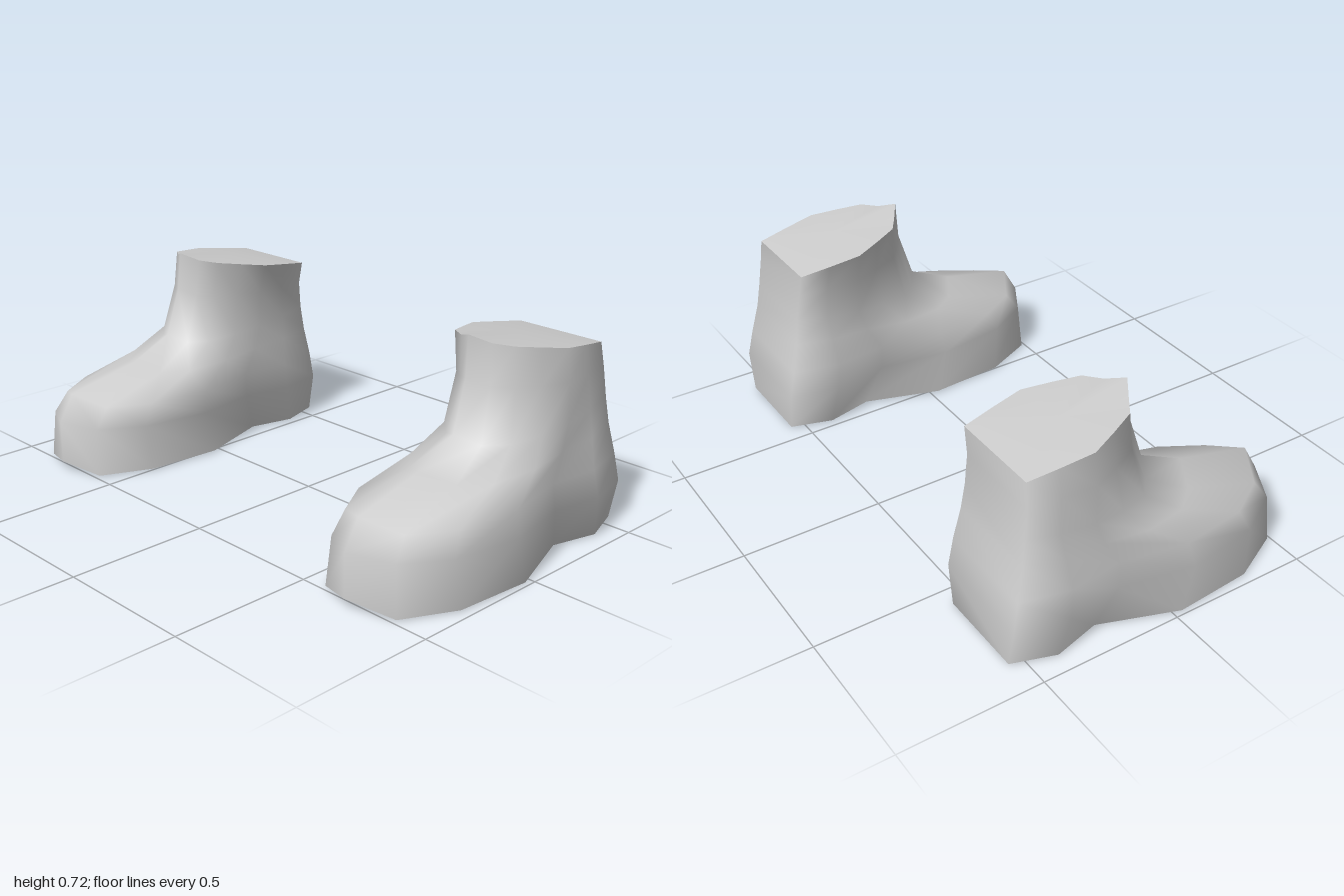
import * as THREE from 'three';

// Half outline from toe tip round to the heel corner: [sole side, sole length, collar side, collar length]
const OUTLINE = [
  [0, 1, 0, 1], [0.56, 0.945, 0.32, 0.915], [0.89, 0.78, 0.63, 0.83], [0.97, 0.53, 0.82, 0.65],
  [0.62, 0.285, 1, 0.46], [0.78, 0.135, 0.93, 0.22], [0.6, 0, 0.85, 0],
];

// Levels from sole to collar
const LEVELS = [
  { k: 0, front: 0.545, back: -0.55, cx: 0.72, out: 0.275, inn: 0.248, yBack: 0.008, yEdge: 0.008, yTip: 0.04 },
  { k: 0.3, front: 0.545, back: -0.55, cx: 0.72, out: 0.285, inn: 0.255, yBack: 0.15, yEdge: 0.18, yTip: 0.19 },
  { k: 0.35, front: 0.49, back: -0.53, cx: 0.72, out: 0.265, inn: 0.25, yBack: 0.25, yEdge: 0.25, yTip: 0.285 },
  { k: 0.55, front: 0.22, back: -0.505, cx: 0.71, out: 0.24, inn: 0.21, yBack: 0.36, yEdge: 0.31, yTip: 0.345 },
  { k: 0.8, front: 0.06, back: -0.493, cx: 0.705, out: 0.215, inn: 0.18, yBack: 0.45, yEdge: 0.39, yTip: 0.42 },
  { k: 1, front: 0.005, back: -0.48, cx: 0.7, out: 0.2, inn: 0.17, yBack: 0.55, yEdge: 0.57, yTip: 0.59 },
  { k: 1, front: -0.005, back: -0.475, cx: 0.695, out: 0.19, inn: 0.19, yBack: 0.635, yEdge: 0.708, yTip: 0.725 },
];

function ring(level) {
  const point = (i, side) => {
    const [s0, t0, s1, t1] = OUTLINE[i];
    const s = THREE.MathUtils.lerp(s0, s1, level.k);
    const t = THREE.MathUtils.lerp(t0, t1, level.k);
    const x = level.cx + side * s * (side > 0 ? level.out : level.inn);
    const y = i === 0 ? level.yTip : THREE.MathUtils.lerp(level.yBack, level.yEdge, t);
    return [x, y, THREE.MathUtils.lerp(level.back, level.front, t)];
  };
  const pts = [];
  for (let i = 0; i < 7; i++) pts.push(point(i, 1));
  for (let i = 6; i > 0; i--) pts.push(point(i, -1));
  return pts;
}

// Mirrored geometry reverses its corner order
function makeGeometry(points, faces, side) {
  const geo = new THREE.BufferGeometry();
  const pos = points.flatMap(([x, y, z]) => [x * side, y, z]);
  geo.setAttribute('position', new THREE.Float32BufferAttribute(pos, 3));
  geo.setIndex(faces.flatMap(([a, b, c]) => (side > 0 ? [a, b, c] : [a, c, b])));
  geo.computeVertexNormals();
  return geo;
}

function fan(points, center, up) {
  const n = points.length;
  const faces = points.map((_, j) => (up ? [n, j, (j + 1) % n] : [n, (j + 1) % n, j]));
  return [[...points, center], faces];
}

export function createModel() {
  const material = new THREE.MeshStandardMaterial({ color: 0xcccccc });
  material.name = 'light grey';
  const model = new THREE.Group();
  model.name = 'pairOfBoots';

  const rings = LEVELS.map(ring);
  const n = rings[0].length;

  // Skin between neighbouring levels
  const wallFaces = [];
  for (let i = 0; i < rings.length - 1; i++) {
    for (let j = 0; j < n; j++) {
      const a = i * n + j, b = i * n + ((j + 1) % n);
      wallFaces.push([a, b, b + n], [a, b + n, a + n]);
    }
  }

  const sole = rings[0];
  const parts = {
    upper: [rings.flat(), wallFaces],
    collarCap: fan(rings[rings.length - 1], [0.7, 0.683, -0.26], true),
    sole: fan(sole.slice(1), [0.72, 0.004, 0], false),
    toeBevel: [[sole[0], sole[1], sole[n - 1]], [[0, 2, 1]]],
  };

  for (const side of [1, -1]) {
    const boot = new THREE.Group();
    boot.name = side > 0 ? 'leftBoot' : 'rightBoot';
    for (const [name, [points, faces]] of Object.entries(parts)) {
      const mesh = new THREE.Mesh(makeGeometry(points, faces, side), material);
      mesh.name = name;
      boot.add(mesh);
    }
    model.add(boot);
  }
  return model;
}
